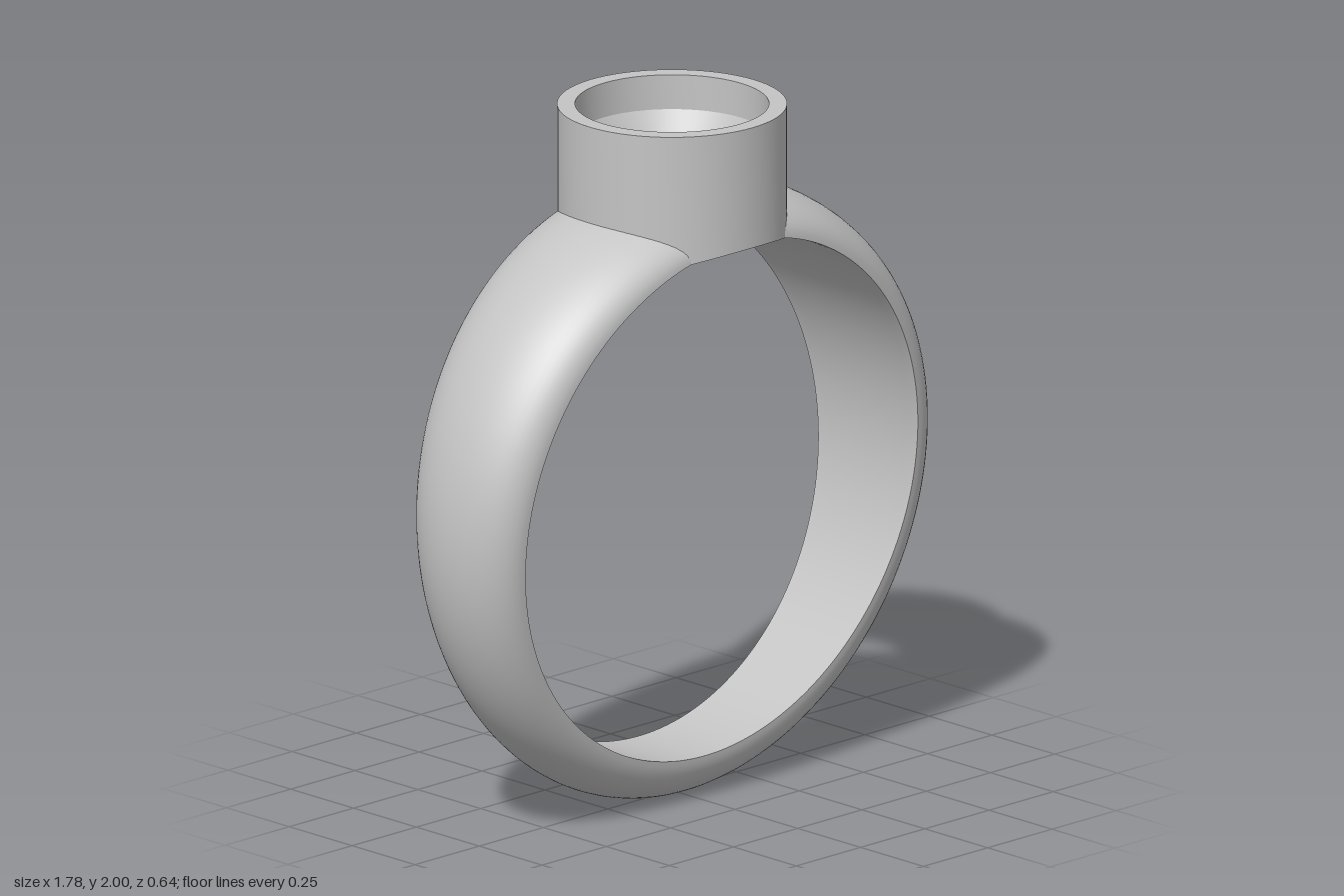
import * as THREE from 'three';
import { toCreasedNormals } from 'three/addons/utils/BufferGeometryUtils.js';

const CENTER = 0.89;   // height of the finger hole's axis
const INNER = 0.76;    // finger hole radius
const THICK = 0.13;    // band thickness
const HEAD = 0.32;     // radius of the setting

// Half-width of the band at angle a from the top: wide there, narrow below
const halfWidth = (a) => 0.198 + 0.067 * Math.cos(a);

// Sweeps a section round the finger, stopping just inside the setting.
// section(t) returns [height above the hole, width factor -1..1].
function sweep(section, across, around = 160) {
  const positions = [], index = [];
  for (let j = 0; j <= across; j++) {
    const [rise, w] = section(j / across);
    const r = INNER + rise;
    let start = 0.3;
    for (let k = 0; k < 12; k++) {
      const z = w * halfWidth(start);
      start = Math.asin(Math.sqrt((HEAD - 0.004) ** 2 - z * z) / r);
    }
    for (let i = 0; i <= around; i++) {
      const a = start + (2 * Math.PI - 2 * start) * (i / around);
      positions.push(r * Math.sin(a), CENTER + r * Math.cos(a), w * halfWidth(a));
      if (i < around && j < across) {
        const p = j * (around + 1) + i, q = p + around + 1;
        index.push(p, p + 1, q, p + 1, q + 1, q);
      }
    }
  }
  const geometry = new THREE.BufferGeometry();
  geometry.setAttribute('position', new THREE.Float32BufferAttribute(positions, 3));
  geometry.setIndex(index);
  geometry.computeVertexNormals();
  return geometry;
}

// Turned cup with a conical seat; its underside follows the finger hole
function settingGeometry() {
  const profile = [
    [HEAD, 0], [HEAD, 2], [0.27, 2], [0.27, 1.9], [0.14, 1.65],
    [0.14, 0], [0.2, 0], [0.26, 0], [HEAD, 0],
  ].map(([r, y]) => new THREE.Vector2(r, y));
  const geometry = new THREE.LatheGeometry(profile, 80);
  const p = geometry.attributes.position;
  for (let i = 0; i < p.count; i++) {
    if (p.getY(i) < 1) p.setY(i, CENTER + Math.sqrt(INNER ** 2 - p.getX(i) ** 2));
  }
  return toCreasedNormals(geometry, 0.35);
}

export function createModel() {
  const metal = new THREE.MeshStandardMaterial({ color: 0xc4c4c4 });
  metal.name = 'grey metal';
  const model = new THREE.Group();
  model.name = 'ring';
  const add = (name, geometry) => {
    const mesh = new THREE.Mesh(geometry, metal);
    mesh.name = name;
    model.add(mesh);
  };

  // Domed outside and flat inside of the band
  add('bandOutside', sweep((t) => [THICK * Math.sin(Math.PI * t), Math.cos(Math.PI * t)], 28));
  add('bandInside', sweep((t) => [0, 2 * t - 1], 12));
  // Cup for the stone
  add('setting', settingGeometry());
  return model;
}
